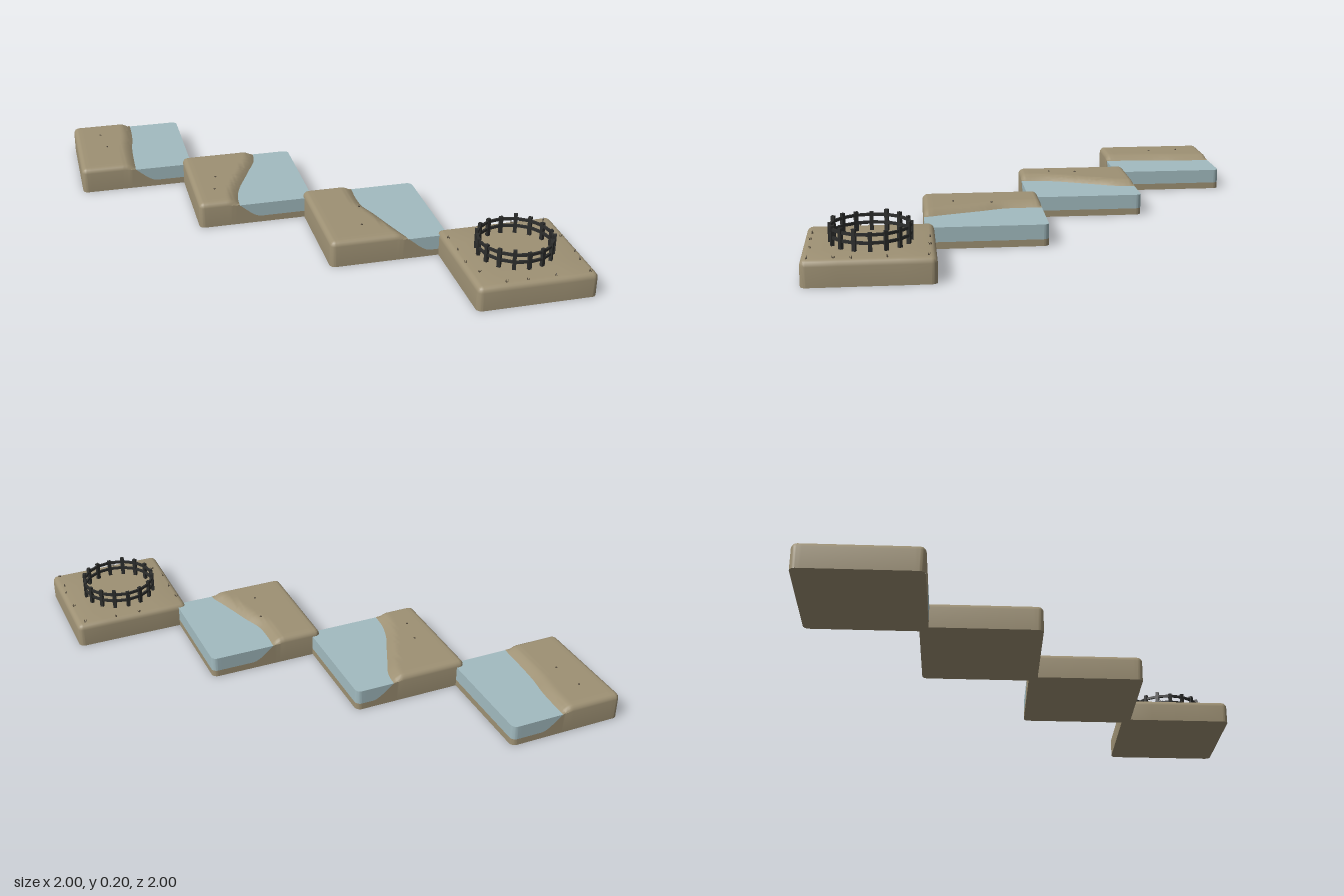
import * as THREE from 'three';
import { toCreasedNormals } from 'three/addons/utils/BufferGeometryUtils.js';

const HALF = 0.265, ROUND = 0.025, WATER = 0.095, FLOOR = 0.03;

// Grid of parameters: bevel and wall rows outside [-1, 1], flat rows inside
function gridLines(n) {
  const lines = [];
  for (let i = 0; i <= n; i++) lines.push(-1 + 2 * i / n);
  const rim = [0.25, 0.5, 0.75, 1, 2].map(t => 1 + t);
  return [...rim.slice().reverse().map(t => -t), ...lines, ...rim];
}

// Rounded square sheet that folds over its rim; yAt(x, z, t) gives the height, t = 0..1 bevel, 2 foot
function tileSheet(n, yAt) {
  const lines = gridLines(n), N = lines.length, pos = [], idx = [];
  const inner = HALF - ROUND;
  for (const a of lines) for (const b of lines) {
    const ca = THREE.MathUtils.clamp(a, -1, 1), cb = THREE.MathUtils.clamp(b, -1, 1);
    const ex = a - ca, ez = b - cb, t = Math.max(Math.abs(ex), Math.abs(ez));
    const off = ROUND * Math.sin(Math.min(t, 1) * Math.PI / 2), len = Math.hypot(ex, ez) || 1;
    const x = ca * inner + off * ex / len, z = cb * inner + off * ez / len;
    pos.push(x, yAt(x, z, t), z);
  }
  for (let i = 0; i < N - 1; i++) for (let j = 0; j < N - 1; j++) {
    const a = i * N + j, b = a + 1, c = a + N, d = c + 1;
    idx.push(a, b, c, b, d, c);
  }
  const g = new THREE.BufferGeometry();
  g.setAttribute('position', new THREE.Float32BufferAttribute(pos, 3));
  g.setIndex(idx);
  return toCreasedNormals(g, 0.6);
}

// Flat rounded underside
function undersideGeometry() {
  const s = new THREE.Shape(), i = HALF - ROUND;
  s.absarc(i, i, ROUND, 0, Math.PI / 2);
  s.absarc(-i, i, ROUND, Math.PI / 2, Math.PI);
  s.absarc(-i, -i, ROUND, Math.PI, Math.PI * 1.5);
  s.absarc(i, -i, ROUND, Math.PI * 1.5, Math.PI * 2);
  return new THREE.ShapeGeometry(s, 4).rotateX(Math.PI / 2);
}

// Shoreline x at local z, interpolated through evenly spaced samples from back to front
function shoreline(samples) {
  const curve = new THREE.SplineCurve(samples.map((x, i) => new THREE.Vector2(x, i)));
  return z => curve.getPoint(THREE.MathUtils.clamp((z + HALF) / (2 * HALF), 0, 1)).x;
}

export function createModel() {
  const root = new THREE.Group();
  root.name = 'shoreTiles';
  const mat = (name, color) => {
    const m = new THREE.MeshStandardMaterial({ color });
    m.name = name;
    return m;
  };
  const sand = mat('sand', 0x9e9174);
  const water = mat('water', 0xa2bbc0);
  const iron = mat('darkWood', 0x2c2d2c);
  const stone = mat('pebble', 0x5c5242);
  const add = (parent, name, geo, m, x = 0, y = 0, z = 0) => {
    const mesh = new THREE.Mesh(geo, m);
    mesh.name = name;
    mesh.position.set(x, y, z);
    parent.add(mesh);
    return mesh;
  };
  const underside = undersideGeometry();
  const pebble = new THREE.DodecahedronGeometry(0.005);

  // Three beach tiles: sand bank sloping below a block of water
  const beaches = [
    { c: -0.735, shore: [0.025, 0.023, 0.018, 0.006, 0, -0.003, -0.005], stones: [[-0.14, -0.13], [-0.12, 0.02]] },
    { c: -0.245, shore: [0.09, 0.075, 0.035, -0.005, -0.045, -0.07, -0.077], stones: [[-0.145, -0.005], [-0.17, 0.12]] },
    { c: 0.245, shore: [-0.028, -0.032, -0.026, 0.005, 0.032, 0.06, 0.088], stones: [[-0.055, -0.04], [-0.09, 0.13]] },
  ];
  for (const { c, shore, stones } of beaches) {
    const tile = new THREE.Group();
    tile.name = 'beachTile';
    tile.position.set(c, 0, c);
    root.add(tile);
    const line = shoreline(shore);
    const height = (x, z) =>
      0.12 - (0.12 - FLOOR) * THREE.MathUtils.smoothstep(x - line(z), -0.055, 0.1);
    const sandY = (x, z, t) => {
      if (t > 1) return 0;
      const h = height(x, z), drop = ROUND * (1 - Math.cos(t * Math.PI / 2));
      return Math.max(h - drop, Math.min(h, WATER + 0.002));
    };
    add(tile, 'sandBank', tileSheet(48, sandY), sand);
    add(tile, 'underside', underside, sand);
    add(tile, 'waterBlock', tileSheet(48, (x, z, t) => t > 1 ? Math.min(height(x, z), WATER) : WATER), water);
    for (const [x, z] of stones) add(tile, 'pebble', pebble, stone, x, 0.121, z);
  }

  // Plain ground tile
  const ground = new THREE.Group();
  ground.name = 'groundTile';
  ground.position.set(0.735, 0, 0.735);
  root.add(ground);
  const top = 0.108;
  add(ground, 'groundBlock', tileSheet(4, (x, z, t) =>
    t > 1 ? 0 : top - ROUND * (1 - Math.cos(t * Math.PI / 2))), sand);
  add(ground, 'underside', underside, sand);

  // Round fence: uneven posts joined by two rails
  const fence = new THREE.Group();
  fence.name = 'fence';
  fence.position.set(-0.005, 0, -0.005);
  ground.add(fence);
  const R = 0.164, posts = 16, step = Math.PI * 2 / posts;
  for (let i = 0; i < posts; i++) {
    const a = i * step, h = 0.082 + 0.012 * ((i * 5) % 4) / 3;
    const post = add(fence, 'post', new THREE.BoxGeometry(0.016, h, 0.014), iron,
      R * Math.sin(a), top + h / 2 - 0.004, R * Math.cos(a));
    post.rotation.y = a;
    const b = a + step / 2, r = R * Math.cos(step / 2);
    for (const y of [0.142, 0.175]) {
      const rail = add(fence, 'rail', new THREE.BoxGeometry(2 * R * Math.sin(step / 2) + 0.002, 0.012, 0.009), iron,
        r * Math.sin(b), y, r * Math.cos(b));
      rail.rotation.y = b;
    }
  }

  // Small dry tufts along the rim of the ground tile
  const blade = new THREE.ConeGeometry(0.003, 0.016, 4);
  const tufts = [[-0.035, -0.245], [0.075, -0.24], [0.225, -0.23], [-0.24, -0.175], [-0.24, -0.065],
    [0.238, -0.07], [-0.24, 0.045], [0.24, 0.065], [-0.215, 0.135], [0.235, 0.135],
    [-0.135, 0.235], [-0.045, 0.24], [0.085, 0.235], [0.235, 0.235]];
  tufts.forEach(([x, z], i) => {
    const tuft = new THREE.Group();
    tuft.name = 'tuft';
    tuft.position.set(x, top + 0.004, z);
    tuft.rotation.y = i * 1.9;
    ground.add(tuft);
    for (const s of [-1, 0, 1]) add(tuft, 'blade', blade, stone, s * 0.005, 0, s * s * 0.003).rotation.z = -s * 0.4;
  });

  return root;
}
